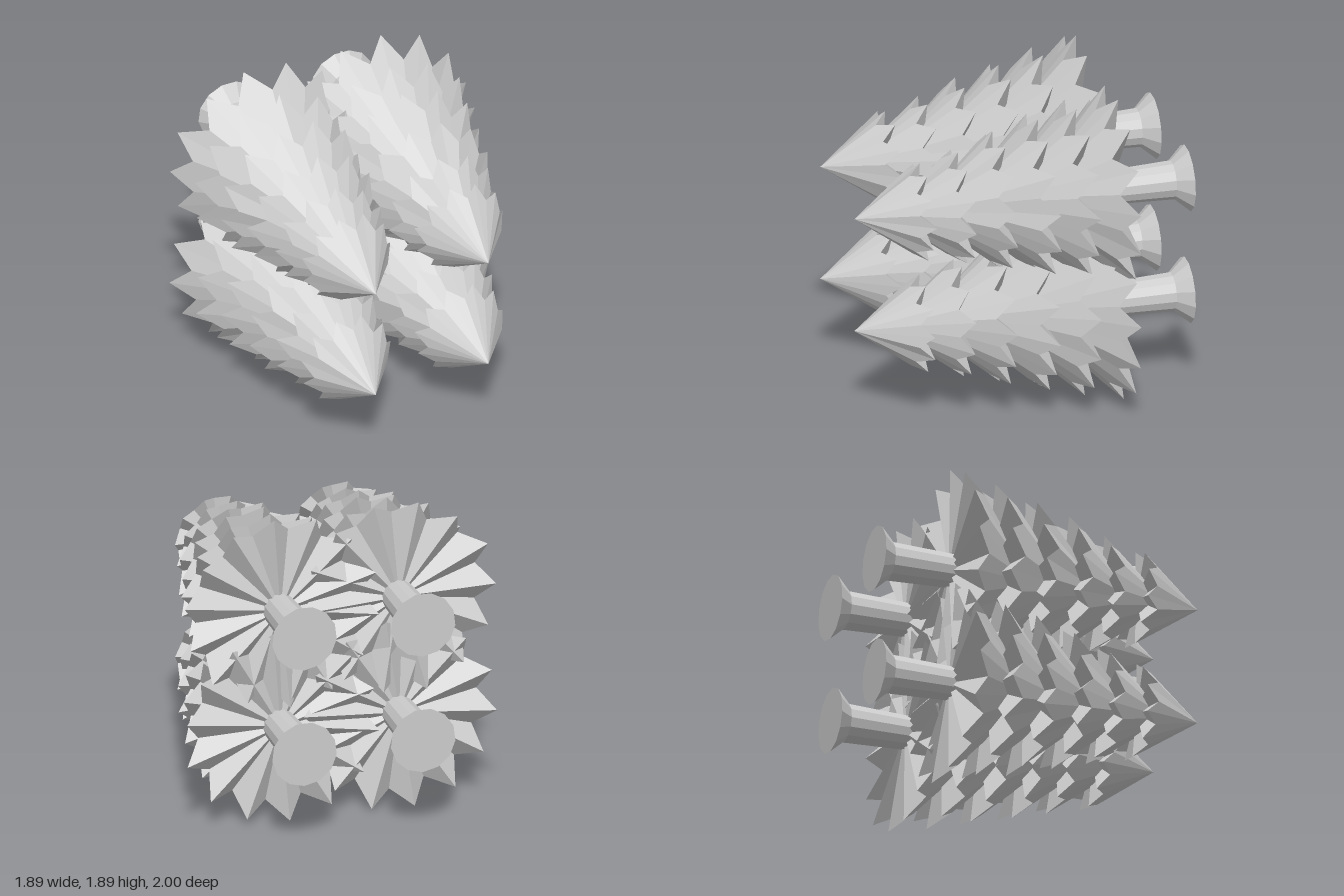
import * as THREE from 'three';

const grey = new THREE.MeshStandardMaterial({ color: 0xcccccc, flatShading: true });
grey.name = 'plain grey';

// Tiers from the tip to the trunk: tooth z, tooth radius, height of cone, teeth
const TIERS = [
  [0.59, 0.285, 0.41, 11],
  [0.36, 0.34, 0.46, 11],
  [0.13, 0.41, 0.5, 12],
  [-0.11, 0.475, 0.54, 13],
  [-0.34, 0.53, 0.56, 13],
  [-0.57, 0.585, 0.56, 14],
];

function seeded(seed) {
  let s = seed;
  return () => {
    s = (s * 16807) % 2147483647;
    return s / 2147483647;
  };
}

// Cone with a saw-toothed rim and a folded, nearly flat underside
function tierGeometry([z, radius, height, teeth], phase, rand) {
  const rim = [];
  for (let i = 0; i < teeth * 2; i++) {
    const a = phase + (i * Math.PI) / teeth;
    const tooth = i % 2 === 0;
    const r = radius * (tooth ? 0.99 + rand() * 0.04 : 0.81 + rand() * 0.05);
    const rz = tooth ? z + (rand() - 0.5) * 0.02 : z + height * 0.19 + (rand() - 0.5) * 0.02;
    rim.push([Math.cos(a) * r, Math.sin(a) * r, rz]);
  }
  const apex = [0, 0, z + height];
  const hub = [0, 0, z + 0.03];
  const positions = [];
  rim.forEach((p, i) => {
    const q = rim[(i + 1) % rim.length];
    positions.push(...apex, ...p, ...q, ...hub, ...q, ...p);
  });
  const g = new THREE.BufferGeometry();
  g.setAttribute('position', new THREE.Float32BufferAttribute(positions, 3));
  g.computeVertexNormals();
  return g;
}

// Tree lying along z with its tip to the front
function makeTree(name, x, y, rimPhase, seed) {
  const rand = seeded(seed);
  const tree = new THREE.Group();
  tree.name = name;
  TIERS.forEach((tier, i) => {
    const phase = i === TIERS.length - 1 ? THREE.MathUtils.degToRad(rimPhase) : rand() * Math.PI;
    const mesh = new THREE.Mesh(tierGeometry(tier, phase, rand), grey);
    mesh.name = 'branchTier' + (i + 1);
    tree.add(mesh);
  });

  // Trunk with a flared foot
  const profile = [[0, -1], [0.197, -1], [0.115, -0.91], [0.1, -0.5]]
    .map(([r, z]) => new THREE.Vector2(r, z));
  const trunk = new THREE.Mesh(new THREE.LatheGeometry(profile, 13).rotateX(Math.PI / 2), grey);
  trunk.name = 'trunk';
  tree.add(trunk);
  tree.position.set(x, y, 0);
  return tree;
}

export function createModel() {
  const model = new THREE.Group();
  model.name = 'fourTrees';
  model.add(
    makeTree('upperRightTree', -0.375, 1.315, 23.3, 1137),
    makeTree('upperLeftTree', 0.345, 1.315, 8, 2291),
    makeTree('lowerRightTree', -0.375, 0.595, 4.6, 3571),
    makeTree('lowerLeftTree', 0.345, 0.595, 8, 4813),
  );
  return model;
}
